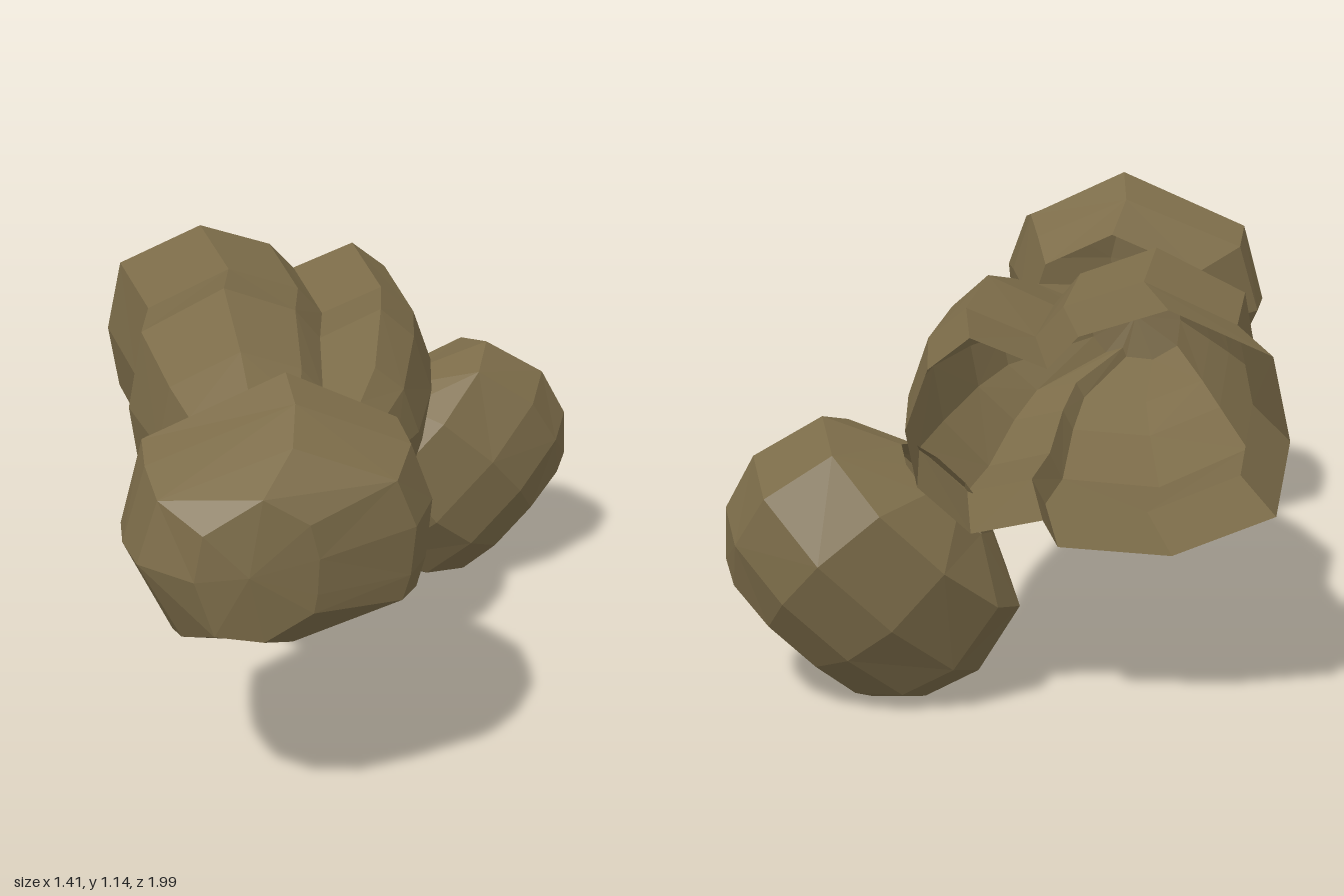
import * as THREE from 'three';

// Faceted skin through rings of points, front to back; front capped, back left open
function loft(rings, tip) {
  const out = [];
  const tri = (a, b, c) => out.push(...a, ...b, ...c);
  const n = rings[0].length;
  for (let i = 0; i < n; i++) {
    const j = (i + 1) % n;
    tri(tip, rings[0][j], rings[0][i]);
    for (let r = 0; r + 1 < rings.length; r++) {
      const a = rings[r], b = rings[r + 1];
      if ((i + r) % 2) {
        tri(a[i], a[j], b[i]);
        tri(a[j], b[j], b[i]);
      } else {
        tri(a[i], a[j], b[j]);
        tri(a[i], b[j], b[i]);
      }
    }
  }
  const g = new THREE.BufferGeometry();
  g.setAttribute('position', new THREE.Float32BufferAttribute(out, 3));
  g.computeVertexNormals(); // unshared corners give flat facets
  return g;
}

// Fits a unit-square outline into the given width and height at depth z
const fit = (outline, [z, left, right, bottom, top]) => outline.map(([u, v]) =>
  [left + u * (right - left), bottom + v * (top - bottom), z]);

export function createModel() {
  const group = new THREE.Group();
  const stone = new THREE.MeshStandardMaterial({ color: 0x7c6c49, side: THREE.DoubleSide });
  const add = (name, geometry) => {
    const mesh = new THREE.Mesh(geometry, stone);
    mesh.name = name;
    group.add(mesh);
  };

  // Long two-lobed boulder, creased along its top and underside, hollow at the back
  const lobes = [
    [0, .48], [.05, .82], [.32, 1], [.55, .89], [.63, .76], [.83, .88], [.94, .75],
    [1, .5], [.97, .27], [.83, .08], [.64, .14], [.6, .03], [.3, 0], [.03, .17],
  ];
  const longRings = [ // depth, left, right, bottom, top
    [.35, -.46, -.2, .64, .89], [.17, -.54, .05, .56, .95], [.03, -.59, .13, .5, 1.01],
    [-.26, -.66, .21, .44, 1.1], [-.54, -.63, .25, .46, 1.07], [-.94, -.7, .22, .48, 1.09],
  ];
  add('longBoulder', loft(longRings.map((r) => fit(lobes, r)), [-.33, .77, .36]));

  // Rounded boulder at the front, open towards the long one
  const round = [
    [0, .45], [.08, .77], [.56, 1], [.93, .81], [1, .57], [.98, .32], [.95, .19],
    [.55, 0], [.15, .06],
  ];
  const frontRings = [
    [.98, -.55, -.25, .6, .97], [.86, -.68, 0, .54, 1.05], [.72, -.71, .06, .49, 1.11],
    [.6, -.71, .04, .46, 1.15], [.48, -.69, .01, .49, 1.09], [.35, -.55, -.03, .54, 1.01],
  ];
  add('frontBoulder', loft(frontRings.map((r) => fit(round, r)), [-.42, .78, 1]));

  // Tilted lower boulder: rings along a diagonal axis, open where it meets the long one
  const place = (s, u, z) => [0.33 + (s + u) * 0.707, 0.38 + (u - s) * 0.707, z];
  const tilted = [ // along axis, half length, half depth
    [.27, .26, .14], [.17, .355, .23], [.02, .4, .28], [-.18, .35, .28], [-.27, .16, .16],
  ].map(([s, length, depth]) => Array.from({ length: 10 }, (_, k) => {
    const a = -k * Math.PI / 5;
    const u = length * Math.cos(a);
    return place(s, u, -0.71 + depth * Math.sin(a) - 0.13 * u * Math.abs(Math.sin(a)));
  }));
  add('lowerBoulder', loft(tilted, place(0.31, -0.01, -0.72)));

  return group;
}
